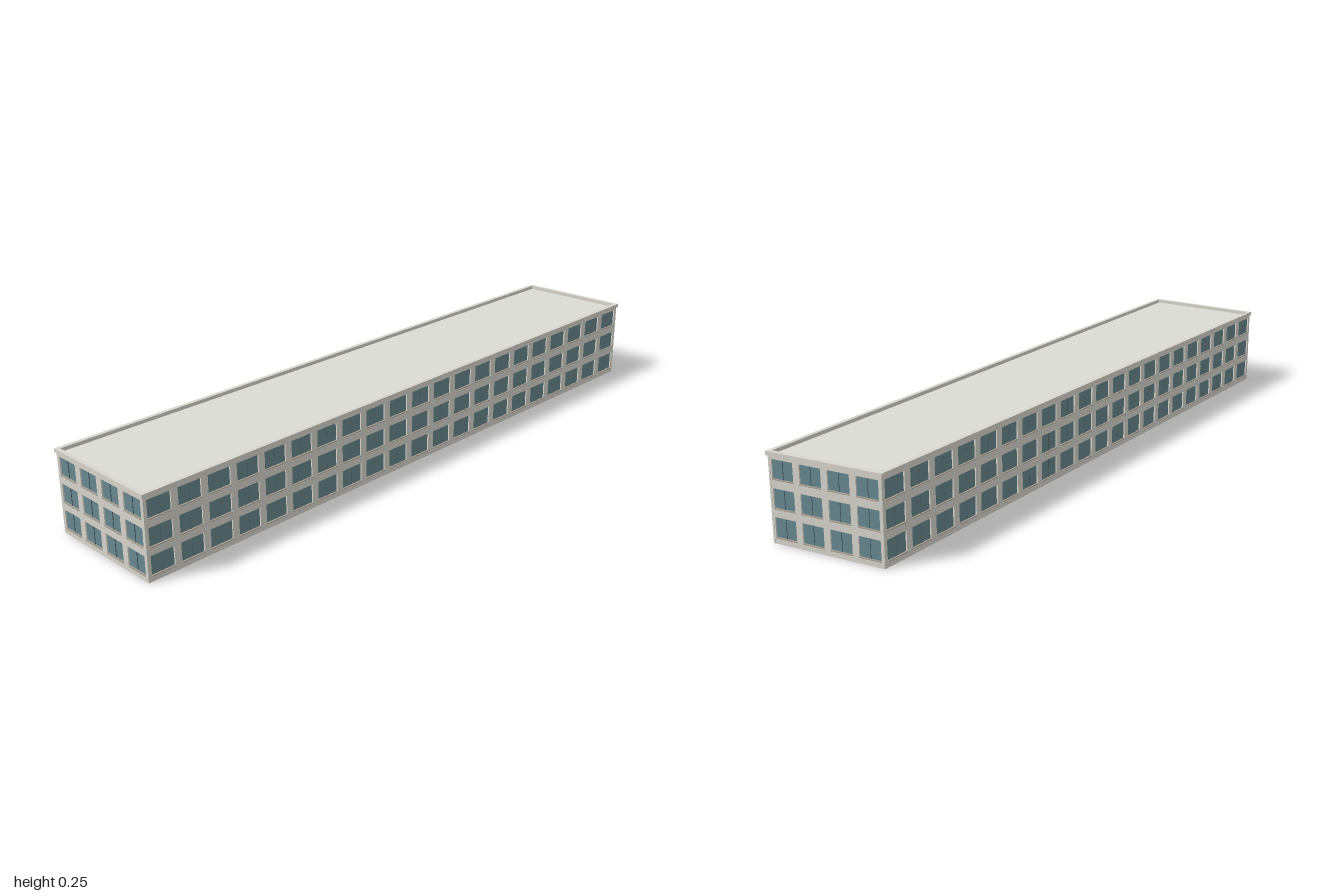
import * as THREE from 'three';
import { mergeGeometries } from 'three/addons/utils/BufferGeometryUtils.js';

const mat = (name, color) => new THREE.MeshStandardMaterial({ name, color, side: THREE.DoubleSide });

// Outline of the cornice in plan (x, z), counter-clockwise seen from above
const OUTLINE = [[-1, 0.171], [1, 0.209], [0.969, -0.138], [-0.994, -0.209]]
  .map(([x, z]) => new THREE.Vector2(x, z));
const BAYS = [21, 4, 21, 4];
const FLOORS = [[0.017, 0.073], [0.097, 0.151], [0.176, 0.229]];
const WALL_TOP = 0.238, TOP = 0.249, DEPTH = 0.005, WINDOW_SHARE = 0.77;

// Move every side of the outline inwards by d
function inset(points, d) {
  const n = points.length;
  return points.map((p, i) => {
    const a = p.clone().sub(points[(i + n - 1) % n]).normalize();
    const b = points[(i + 1) % n].clone().sub(p).normalize();
    const na = new THREE.Vector2(a.y, -a.x), nb = new THREE.Vector2(b.y, -b.x);
    const m = na.clone().add(nb);
    return p.clone().addScaledVector(m, d / (1 + na.dot(nb)));
  });
}

// Plan shapes are drawn with -z as the shape's y, then laid flat
const planPoints = pts => pts.map(p => new THREE.Vector2(p.x, -p.y));

function box(w, h, d, x, y, z) {
  return new THREE.BoxGeometry(w, h, d).translate(x, y, z);
}

// One facade: pierced wall, glass, mullions and sills; local x runs along it, z points outwards
function facade(name, from, to, bays, mats) {
  const group = new THREE.Group();
  group.name = name;
  group.position.set(from.x, 0, from.y);
  group.rotation.y = Math.atan2(from.y - to.y, to.x - from.x);
  const length = from.distanceTo(to), pitch = length / bays, w = pitch * WINDOW_SHARE;

  const shape = new THREE.Shape([[0, 0], [length, 0], [length, WALL_TOP], [0, WALL_TOP]]
    .map(p => new THREE.Vector2(...p)));
  const glass = [], mullions = [], sills = [];
  for (let i = 0; i < bays; i++) {
    const x = (i + 0.5) * pitch;
    for (const [y0, y1] of FLOORS) {
      const h = y1 - y0, y = (y0 + y1) / 2;
      shape.holes.push(new THREE.Path([[x - w / 2, y0], [x - w / 2, y1], [x + w / 2, y1], [x + w / 2, y0]]
        .map(p => new THREE.Vector2(...p))));
      glass.push(new THREE.PlaneGeometry(w, h).translate(x, y, -0.004));
      mullions.push(box(0.0002, h, 0.002, x, y, -0.003));
      sills.push(box(w, 0.002, 0.006, x, y0 - 0.0005, -0.001));
    }
  }
  const wall = new THREE.ExtrudeGeometry(shape, { depth: DEPTH, bevelEnabled: false }).translate(0, 0, -DEPTH);
  const add = (part, geometry, material) => {
    const mesh = new THREE.Mesh(geometry, material);
    mesh.name = part;
    group.add(mesh);
  };
  add('wall', wall, mats.wall);
  add('windowGlass', mergeGeometries(glass), mats.glass);
  add('windowMullions', mergeGeometries(mullions), mats.frame);
  add('windowSills', mergeGeometries(sills), mats.sill);
  return group;
}

export function createModel() {
  const model = new THREE.Group();
  model.name = 'officeBlock';
  const mats = {
    wall: mat('paleConcrete', 0xd7d5cc),
    roof: mat('roofGrey', 0xdadbd3),
    glass: mat('blueGreyGlass', 0x67878f),
    frame: mat('darkFrame', 0x4a5a60),
    sill: mat('sillGrey', 0xa39a8e),
  };

  // Four facades
  const walls = inset(OUTLINE, 0.004);
  ['frontFacade', 'rightEndFacade', 'backFacade', 'leftEndFacade'].forEach((name, i) =>
    model.add(facade(name, walls[i], walls[(i + 1) % 4], BAYS[i], mats)));

  // Flat roof
  const roof = new THREE.Mesh(
    new THREE.ShapeGeometry(new THREE.Shape(planPoints(walls))).rotateX(-Math.PI / 2), mats.roof);
  roof.name = 'roof';
  roof.position.y = WALL_TOP + 0.0005;
  model.add(roof);

  // Overhanging parapet ring
  const ring = new THREE.Shape(planPoints(OUTLINE));
  ring.holes.push(new THREE.Path(planPoints(inset(OUTLINE, 0.012)).reverse()));
  const parapet = new THREE.Mesh(
    new THREE.ExtrudeGeometry(ring, { depth: TOP - WALL_TOP, bevelEnabled: false }).rotateX(-Math.PI / 2), mats.wall);
  parapet.name = 'parapet';
  parapet.position.y = WALL_TOP;
  model.add(parapet);

  return model;
}
